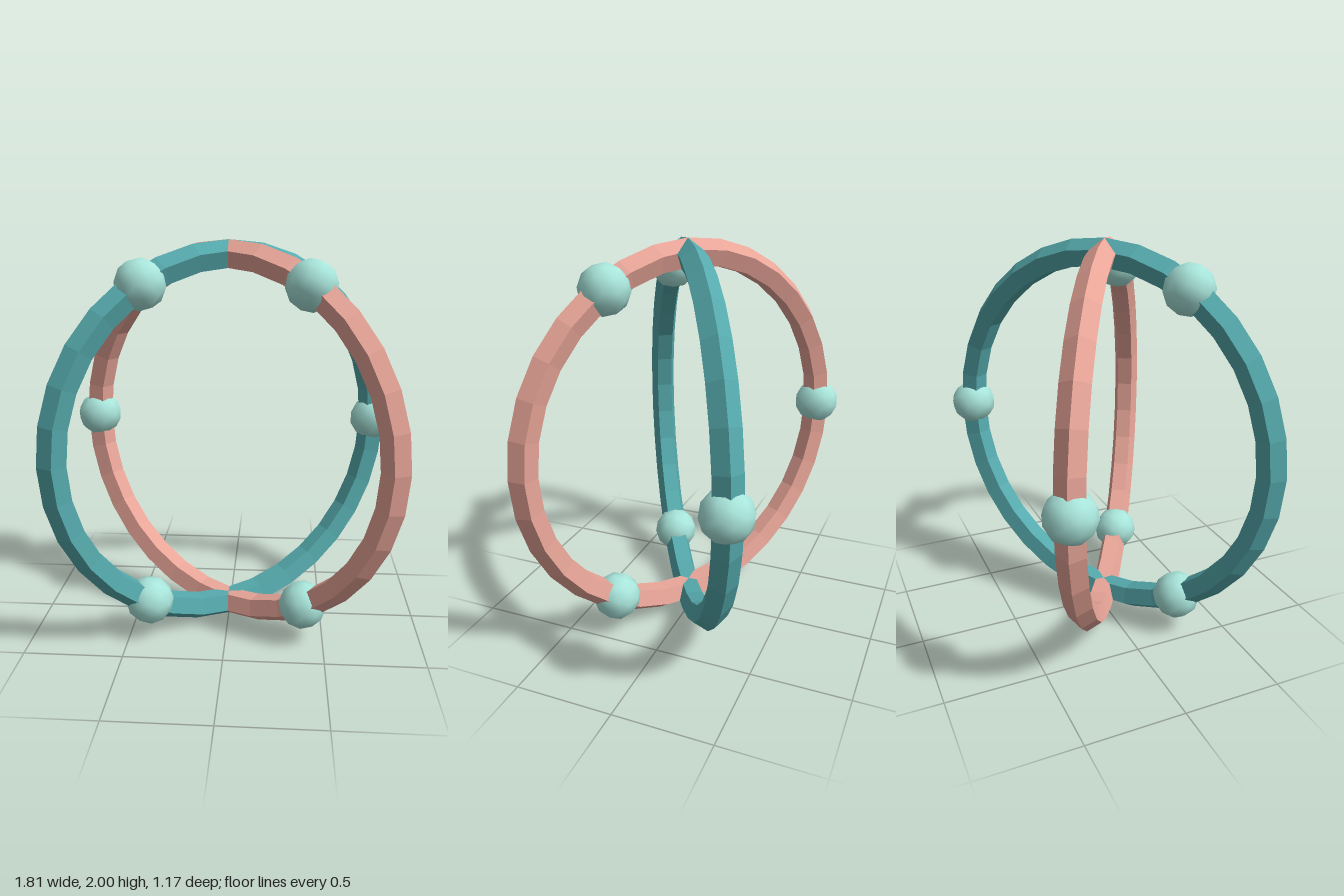
import * as THREE from 'three';

const RING = 0.928, TUBE = 0.072, BEAD = 0.123;
const TILT = THREE.MathUtils.degToRad(32);

const beadMaterial = new THREE.MeshStandardMaterial({ color: 0xa9e6dc });

// One upright ring with a five-sided tube and three evenly spaced beads
function makeRing(name, color) {
  const ring = new THREE.Group();
  ring.name = name;

  const hoop = new THREE.Mesh(
    new THREE.TorusGeometry(RING, TUBE, 5, 32),
    new THREE.MeshStandardMaterial({ color, flatShading: true })
  );
  hoop.name = name + 'Hoop';
  ring.add(hoop);

  // Beads: smooth low-poly balls with a vertex along the ring's axis
  const beadGeometry = new THREE.IcosahedronGeometry(BEAD, 1).rotateX(Math.atan(2 / (1 + Math.sqrt(5))));
  for (const degrees of [60, 180, 300]) {
    const angle = THREE.MathUtils.degToRad(degrees);
    const bead = new THREE.Mesh(beadGeometry, beadMaterial);
    bead.name = name + 'Bead';
    bead.position.set(Math.cos(angle) * RING, Math.sin(angle) * RING, 0);
    bead.rotation.z = angle;
    ring.add(bead);
  }
  ring.position.set(0, 1, 0.025);
  return ring;
}

export function createModel() {
  const model = new THREE.Group();
  model.name = 'crossedRings';

  // Local +x of each ring points to the front, one to each side
  const pink = makeRing('pinkRing', 0xe8a598);
  pink.rotation.y = -TILT;
  const teal = makeRing('tealRing', 0x55a9ac);
  teal.rotation.y = Math.PI + TILT;

  model.add(pink, teal);
  return model;
}
